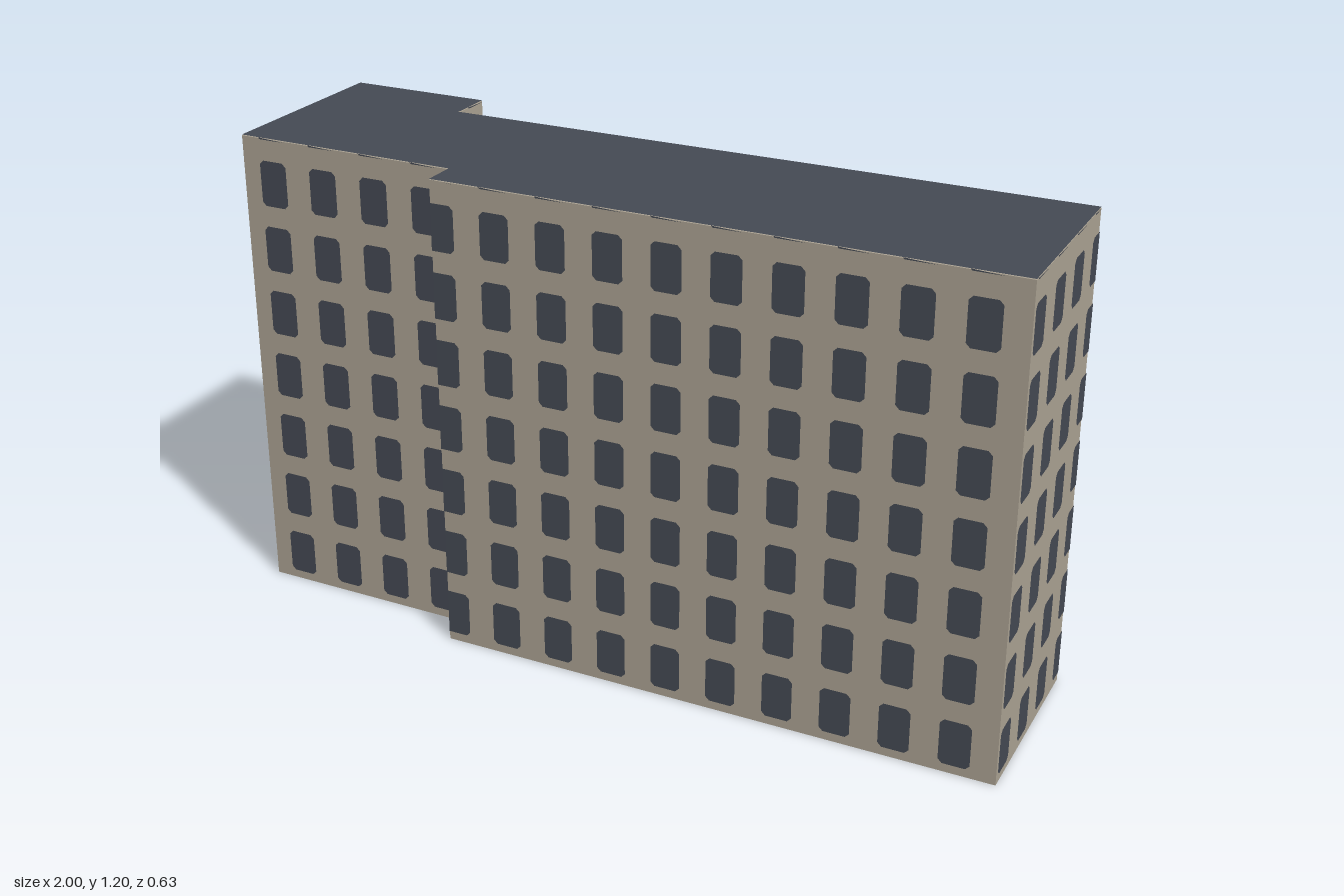
import * as THREE from 'three';
import { mergeGeometries } from 'three/addons/utils/BufferGeometryUtils.js';

const HEIGHT = 1.2;
const WINDOW = { w: 0.075, h: 0.115, pitchX: 0.1437, pitchY: 0.1677, startX: -0.015, startY: 0.022, cut: 0.01 };

// Footprint corners as [x, z], running anticlockwise from the front step
const FOOTPRINT = [
  [-0.415, 0.295], [1, 0.31], [1, -0.18], [-0.63, -0.195],
  [-0.63, -0.31], [-1, -0.315], [-1, 0.2], [-0.415, 0.21],
];

// Window pane with cut corners, cropped to a wall of the given length
function paneShape(x, y, length) {
  const x0 = Math.max(x, 0), x1 = Math.min(x + WINDOW.w, length);
  const y0 = y, y1 = Math.min(y + WINDOW.h, HEIGHT);
  const c = Math.min(WINDOW.cut, (x1 - x0) / 2, (y1 - y0) * 0.9);
  const l = x >= 0 ? c : 0;
  const r = x + WINDOW.w <= length ? c : 0;
  const t = y + WINDOW.h <= HEIGHT ? c : 0;
  const points = [];
  const corner = (px, py, qx, qy, isCut) => {
    if (isCut) points.push(new THREE.Vector2(px, py), new THREE.Vector2(qx, qy));
    else points.push(new THREE.Vector2(Math.abs(px - x0) <= c ? x0 : x1, Math.abs(py - y0) < c * 1.01 && py < (y0 + y1) / 2 ? y0 : y1));
  };
  corner(x0, y0 + c, x0 + c, y0, l > 0);
  corner(x1 - c, y0, x1, y0 + c, r > 0);
  corner(x1, y1 - c, x1 - c, y1, r > 0 && t > 0);
  corner(x0 + c, y1, x0, y1 - c, l > 0 && t > 0);
  return new THREE.Shape(points);
}

export function createModel() {
  const wallMat = new THREE.MeshStandardMaterial({ color: 0xada494 });
  wallMat.name = 'beige wall';
  const slateMat = new THREE.MeshStandardMaterial({ color: 0x454a54 });
  slateMat.name = 'dark slate';

  const model = new THREE.Group();
  model.name = 'apartmentBlock';
  const outline = new THREE.Shape(FOOTPRINT.map(([x, z]) => new THREE.Vector2(x, -z)));

  // Solid body
  const bodyGeo = new THREE.ExtrudeGeometry(outline, { depth: HEIGHT - 0.002, bevelEnabled: false });
  bodyGeo.rotateX(-Math.PI / 2);
  const body = new THREE.Mesh(bodyGeo, wallMat);
  body.name = 'walls';
  model.add(body);

  // Flat roof
  const roofGeo = new THREE.ShapeGeometry(outline);
  roofGeo.rotateX(-Math.PI / 2);
  const roof = new THREE.Mesh(roofGeo, slateMat);
  roof.name = 'roof';
  roof.position.y = HEIGHT;
  model.add(roof);

  // Window grid wraps around the corners of the building
  let travelled = 0;
  FOOTPRINT.forEach(([ax, az], i) => {
    const [bx, bz] = FOOTPRINT[(i + 1) % FOOTPRINT.length];
    const dx = bx - ax, dz = bz - az;
    const length = Math.hypot(dx, dz);
    const panes = [];
    const first = Math.floor((travelled - WINDOW.startX - WINDOW.w) / WINDOW.pitchX);
    for (let k = first; ; k++) {
      const x = WINDOW.startX + k * WINDOW.pitchX - travelled;
      if (x > length - 0.003) break;
      if (x + WINDOW.w < 0.003) continue;
      for (let y = WINDOW.startY; y < HEIGHT; y += WINDOW.pitchY) {
        panes.push(new THREE.ShapeGeometry(paneShape(x, y, length)));
      }
    }
    travelled += length;
    const geo = mergeGeometries(panes);
    geo.translate(0, 0, 0.0015);
    const windows = new THREE.Mesh(geo, slateMat);
    windows.name = 'windows' + (i + 1);
    windows.position.set(ax, 0, az);
    windows.rotation.y = Math.atan2(-dz, dx);
    model.add(windows);
  });

  return model;
}
